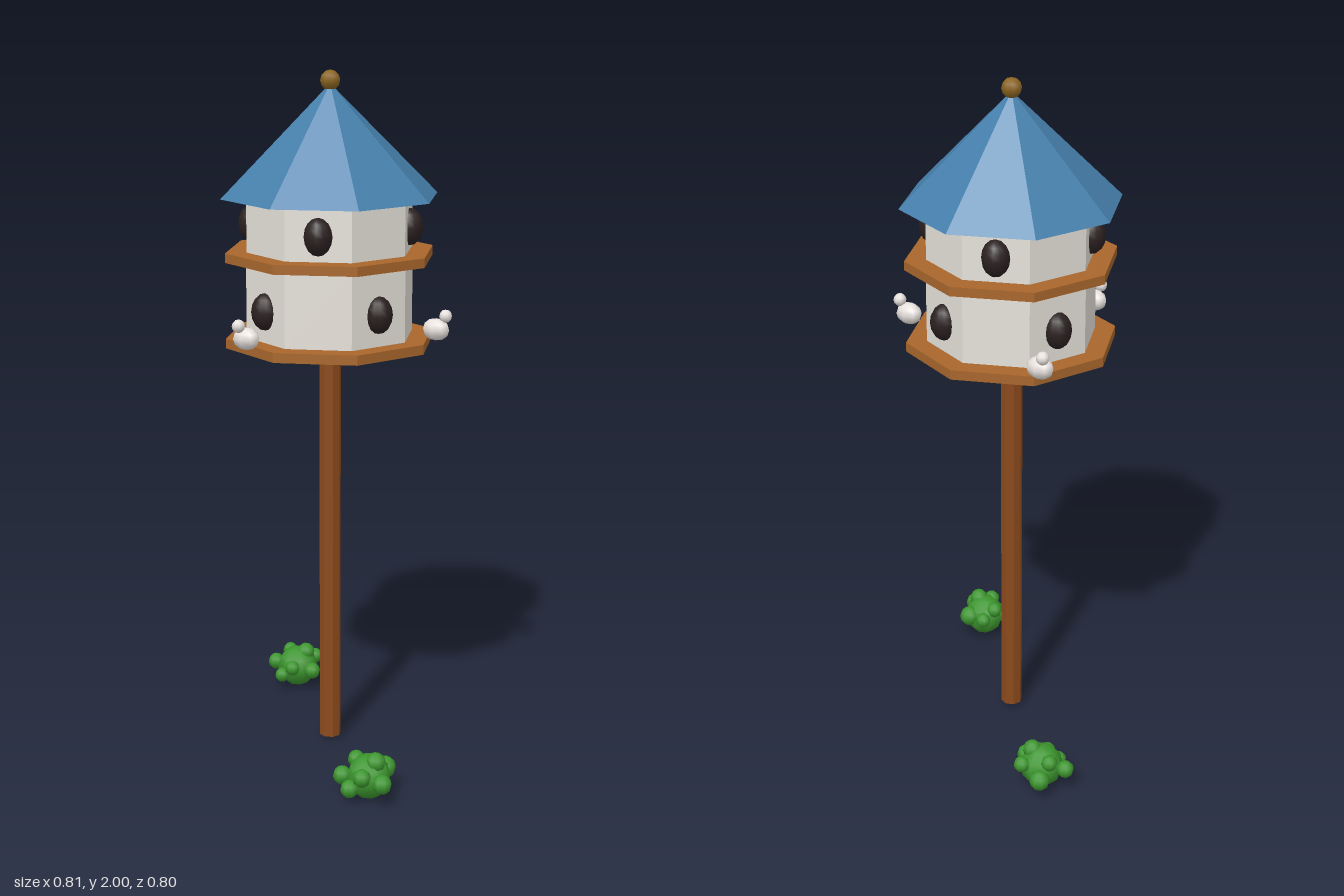
import * as THREE from 'three';

const mat = (name, color, flatShading = false) => {
  const m = new THREE.MeshStandardMaterial({ color, flatShading });
  m.name = name;
  return m;
};

export function createModel() {
  const model = new THREE.Group();
  model.name = 'birdhouse';

  const poleBrown = mat('pole brown', 0x8b4a1c, true);
  const deckBrown = mat('deck brown', 0xa8662c, true);
  const wallWhite = mat('wall white', 0xe6e2da, true);
  const roofBlue = mat('roof blue', 0x4680ac, true);
  const holeDark = mat('hole dark', 0x2b2020);
  const knobGold = mat('knob gold', 0x8b6420);
  const birdWhite = mat('bird white', 0xe8e2de);
  const leafGreen = mat('leaf green', 0x3c962e);

  const add = (parent, name, geometry, material, x = 0, y = 0, z = 0) => {
    const mesh = new THREE.Mesh(geometry, material);
    mesh.name = name;
    mesh.position.set(x, y, z);
    parent.add(mesh);
    return mesh;
  };
  // Eight-sided drum between two heights
  const drum = (name, r, y0, y1, material) =>
    add(model, name, new THREE.CylinderGeometry(r, r, y1 - y0, 8), material, 0, (y0 + y1) / 2, 0);
  const ball = new THREE.SphereGeometry(1, 8, 6);

  // Pole, decks and the two storeys
  drum('pole', 0.032, 0.01, 1.225, poleBrown);
  drum('lowerDeck', 0.305, 1.222, 1.25, deckBrown);
  drum('lowerWalls', 0.245, 1.25, 1.468, wallWhite);
  drum('upperDeck', 0.305, 1.468, 1.495, deckBrown);
  drum('upperWalls', 0.243, 1.495, 1.648, wallWhite);

  // Roof and its knob
  add(model, 'roof', new THREE.ConeGeometry(0.317, 0.315, 8), roofBlue, 0, 1.805, 0);
  add(model, 'knob', ball, knobGold, 0, 1.971, 0).scale.setScalar(0.029);

  // Entrance holes on alternate faces of each storey
  const holeGeometry = new THREE.SphereGeometry(0.04, 12, 8).scale(1, 1.33, 1);
  [['lowerHole', 1.34, -22.5], ['upperHole', 1.565, 22.5]].forEach(([name, y, start]) => {
    for (let i = 0; i < 4; i++) {
      const a = THREE.MathUtils.degToRad(start + i * 90);
      add(model, name, holeGeometry, holeDark, 0.226 * Math.sin(a), y, 0.226 * Math.cos(a)).rotation.y = a;
    }
  });

  // Birds perched on the lower deck, heads leaning outward
  [-17.8, 106.7, -132.2].forEach((deg) => {
    const a = THREE.MathUtils.degToRad(deg);
    const bird = new THREE.Group();
    bird.name = 'bird';
    bird.position.set(0.31 * Math.sin(a), 1.278, 0.31 * Math.cos(a));
    add(bird, 'birdBody', ball, birdWhite).scale.set(0.042, 0.032, 0.03);
    add(bird, 'birdHead', ball, birdWhite, 0.027 * Math.sin(a), 0.039, 0.027 * Math.cos(a)).scale.setScalar(0.019);
    model.add(bird);
  });

  // Bushes: a core with leaf clumps given as x, y, z, radius
  const bush = (x, z, clumps) => {
    const group = new THREE.Group();
    group.name = 'bush';
    group.position.set(x, 0, z);
    add(group, 'bushCore', ball, leafGreen, 0, 0.064, 0).scale.setScalar(0.064);
    clumps.forEach(([cx, cy, cz, r]) => {
      add(group, 'leafClump', ball, leafGreen, cx, cy, cz).scale.setScalar(r);
    });
    model.add(group);
  };
  bush(0.309, 0.304, [
    [0.065, 0.068, 0.039, 0.028], [0.022, 0.075, -0.054, 0.032],
    [-0.032, 0.075, -0.054, 0.024], [-0.048, 0.1, -0.013, 0.025],
    [-0.069, 0.062, 0.03, 0.027], [-0.024, 0.045, 0.067, 0.026],
    [0.015, 0.085, 0.065, 0.026], [0.026, 0.113, 0.007, 0.029],
  ]);
  bush(-0.305, -0.304, [
    [-0.035, 0.06, -0.065, 0.03], [0.032, 0.085, -0.056, 0.024],
    [-0.043, 0.1, -0.026, 0.024], [-0.073, 0.068, 0.013, 0.026],
    [0.067, 0.065, 0.02, 0.026], [0.026, 0.113, -0.009, 0.028],
    [-0.017, 0.05, 0.067, 0.023], [0.015, 0.075, 0.056, 0.024],
  ]);

  return model;
}
